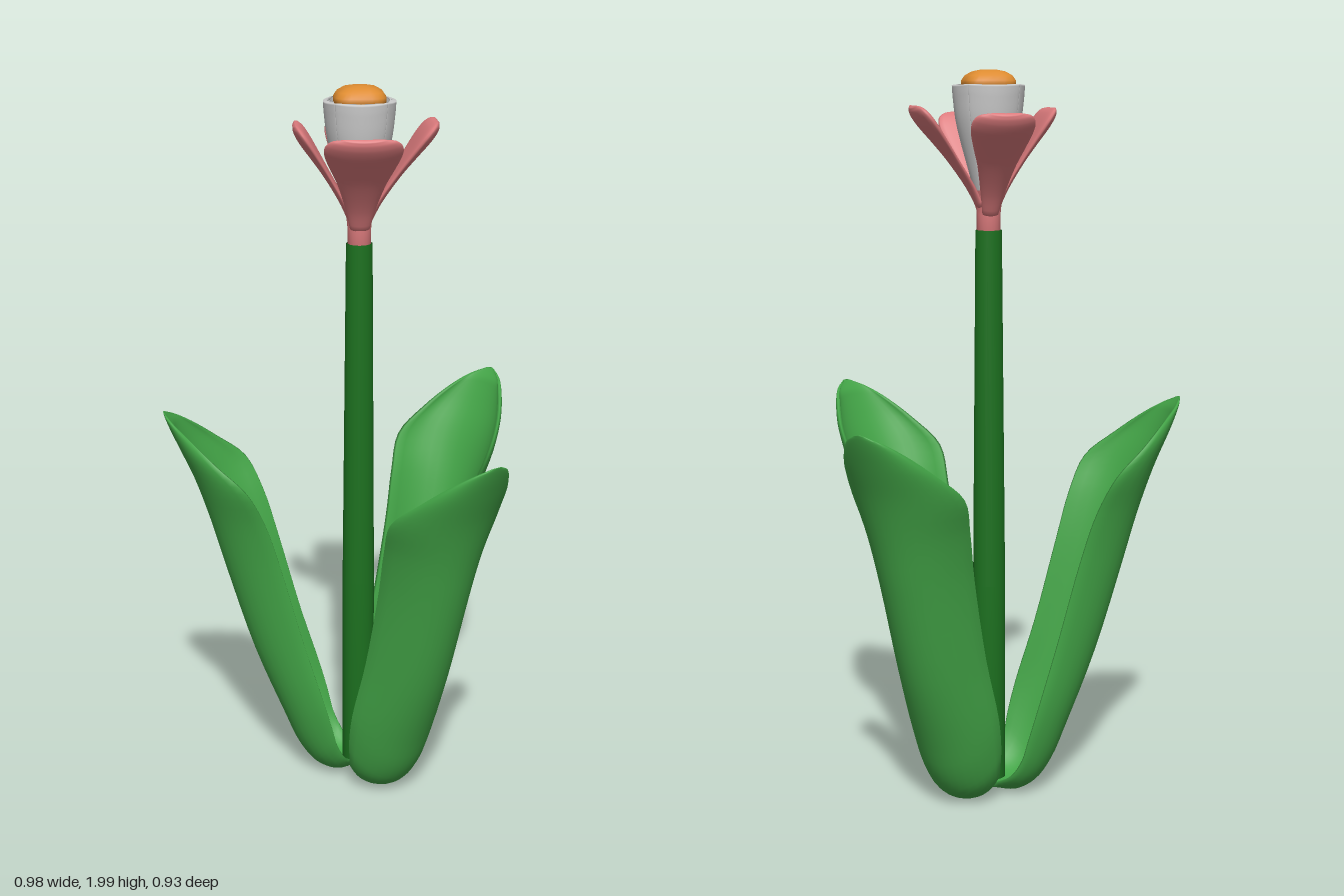
import * as THREE from 'three';

const mat = (color) => new THREE.MeshStandardMaterial({ color, side: THREE.DoubleSide });
const V = (x, y, z) => new THREE.Vector3(x, y, z);

// Closed loft through rings of equal point count, capped at both ends
function loft(rings) {
  const n = rings[0].length, pts = rings.flat(), idx = [];
  for (let i = 0; i < rings.length - 1; i++)
    for (let j = 0; j < n; j++) {
      const a = i * n + j, b = i * n + (j + 1) % n;
      idx.push(a, b, a + n, b, b + n, a + n);
    }
  [0, rings.length - 1].forEach((i, end) => {
    const c = pts.length;
    pts.push(rings[i].reduce((s, p) => s.add(p), V(0, 0, 0)).divideScalar(n));
    for (let j = 0; j < n; j++) {
      const a = i * n + j, b = i * n + (j + 1) % n;
      idx.push(...(end ? [c, a, b] : [c, b, a]));
    }
  });
  // Turn the faces outward if the enclosed volume is negative
  let vol = 0;
  for (let i = 0; i < idx.length; i += 3)
    vol += pts[idx[i]].dot(V(0, 0, 0).crossVectors(pts[idx[i + 1]], pts[idx[i + 2]]));
  if (vol < 0) idx.reverse();
  const g = new THREE.BufferGeometry().setFromPoints(pts);
  g.setIndex(idx);
  g.computeVertexNormals();
  return g;
}

// Trough-shaped leaf pointing along +x: [midrib r, y, edge r, y, half width]
function leafGeometry() {
  const rows = [
    [0.0, 0.012, 0.005, 0.03, 0.03], [0.07, 0.006, 0.04, 0.07, 0.095],
    [0.125, 0.03, 0.065, 0.12, 0.118], [0.172, 0.09, 0.08, 0.18, 0.13],
    [0.22, 0.2, 0.105, 0.27, 0.138], [0.3, 0.4, 0.16, 0.45, 0.133],
    [0.38, 0.66, 0.225, 0.69, 0.138], [0.42, 0.8, 0.265, 0.82, 0.152],
    [0.46, 0.92, 0.315, 0.92, 0.168], [0.5, 1.01, 0.395, 0.99, 0.14],
    [0.525, 1.065, 0.465, 1.05, 0.095], [0.537, 1.095, 0.51, 1.085, 0.055],
    [0.541, 1.108, 0.535, 1.105, 0.015]];
  const mid = new THREE.CatmullRomCurve3(rows.map((r) => V(r[0], r[1], 0)));
  const edge = new THREE.CatmullRomCurve3(rows.map((r) => V(r[2], r[3], r[4])));
  const rings = [], steps = 48, n = 8;
  for (let i = 0; i <= steps; i++) {
    const m = mid.getPoint(i / steps), e = edge.getPoint(i / steps);
    const hw = e.z;
    e.z = 0;
    const th = Math.min(0.02, m.distanceTo(e) * 0.5);
    const inner = m.clone().add(e.clone().sub(m).setLength(th));
    const arc = (from, w, t) => {
      const a = t * 1.3;
      const p = from.clone().lerp(e, (1 - Math.cos(a)) / (1 - Math.cos(1.3)));
      p.z = w * Math.sin(a) / Math.sin(1.3);
      return p;
    };
    const ring = [];
    for (let j = -n; j <= n; j++) ring.push(arc(m, hw, j / n));
    for (let j = n; j >= -n; j--) ring.push(arc(inner, hw - th * 0.4, j / n));
    rings.push(ring);
  }
  return loft(rings);
}

// Blade with a squashed round section, leaning along +x: [r, y, half width, half thickness].
// curl bends the side edges towards the flower's axis.
function bladeGeometry(rows, curl) {
  const path = new THREE.CatmullRomCurve3(rows.map((r) => V(r[0], r[1], 0)));
  const size = new THREE.CatmullRomCurve3(rows.map((r, i) => V(r[2], r[3], i)));
  const rings = [], steps = 28;
  for (let i = 0; i <= steps; i++) {
    const p = path.getPoint(i / steps), s = size.getPoint(i / steps);
    const t = path.getTangent(i / steps), ring = [];
    for (let j = 0; j < 24; j++) {
      const a = j / 24 * Math.PI * 2, c = Math.cos(a);
      const d = s.y * Math.sin(a) - curl * s.x * c * c;
      ring.push(V(p.x + t.y * d, p.y - t.x * d, s.x * c));
    }
    rings.push(ring);
  }
  return loft(rings);
}

export function createModel() {
  const model = new THREE.Group();
  const plant = new THREE.Group();
  plant.name = 'plant';
  plant.position.set(0.048, 0, -0.05);
  model.add(plant);
  const add = (name, geometry, material) => {
    const m = new THREE.Mesh(geometry, material);
    m.name = name;
    plant.add(m);
    return m;
  };
  const lathe = (pts) => new THREE.LatheGeometry(pts.map((p) => new THREE.Vector2(...p)), 20);
  const leafGreen = mat(0x43a547), stemGreen = mat(0x1c701f);
  const pink = mat(0xdc7b7d), white = mat(0xcccccc), orange = mat(0xdd8b30);

  // Leaves: [angle from +x towards +z, shift x, shift z]
  const leaf = leafGeometry();
  [[180, 0, -0.01], [57.5, 0.03, 0.048], [-45, 0.038, -0.015]].forEach(([deg, x, z]) => {
    const m = add('leaf', leaf, leafGreen);
    m.rotation.y = -THREE.MathUtils.degToRad(deg);
    m.position.set(x, 0, z);
  });

  // Stem, tapering and ending inside the flower
  add('stem', lathe([[0, 0.03], [0.045, 0.04], [0.045, 0.6], [0.036, 1.578], [0.025, 1.579],
    [0.025, 1.67], [0, 1.69]]), stemGreen).scale.z = 0.88;

  // Pink collar under the petals
  add('flowerCollar', lathe([[0.024, 1.576], [0.032, 1.578], [0.032, 1.62], [0.035, 1.65],
    [0.045, 1.685]]), pink);

  // Outer petals and inner petals on the four sides: [reach, width, lift]
  const petal = bladeGeometry([
    [0.022, 1.635, 0.026, 0.01], [0.05, 1.69, 0.039, 0.01], [0.1, 1.765, 0.062, 0.011],
    [0.14, 1.82, 0.087, 0.015], [0.168, 1.857, 0.1, 0.018], [0.186, 1.88, 0.097, 0.017],
    [0.197, 1.893, 0.082, 0.012], [0.203, 1.9, 0.05, 0.005]], 0.08);
  const innerPetal = bladeGeometry([
    [0.022, 1.64, 0.014, 0.004], [0.05, 1.74, 0.037, 0.005], [0.08, 1.86, 0.061, 0.006],
    [0.089, 1.93, 0.068, 0.006], [0.092, 1.96, 0.07, 0.005]], 0.34);
  [[1.02, 0.92, 0.004], [1.05, 0.84, -0.014], [0.86, 0.9, -0.002], [1, 1.02, -0.014]]
    .forEach(([reach, width, lift], k) => {
      const outer = add('outerPetal', petal, pink);
      outer.rotation.y = k * Math.PI / 2;
      outer.scale.set(reach, 1, width);
      outer.position.y = lift;
      add('innerPetal', innerPetal, white).rotation.y = k * Math.PI / 2;
    });

  // Rounded square flower centre, domed above the inner petals
  const rows = [[1.88, 0.03], [1.94, 0.06], [1.96, 0.07], [1.972, 0.069], [1.985, 0.06],
    [1.995, 0.043], [2, 0.02]];
  add('flowerCentre', loft(rows.map(([y, r]) => Array.from({ length: 28 }, (_, j) => {
    const a = j / 28 * Math.PI * 2, f = (t) => r * Math.sign(t) * Math.abs(t) ** 0.6;
    return V(f(Math.cos(a)), y, f(Math.sin(a)));
  }))), orange);
  return model;
}
